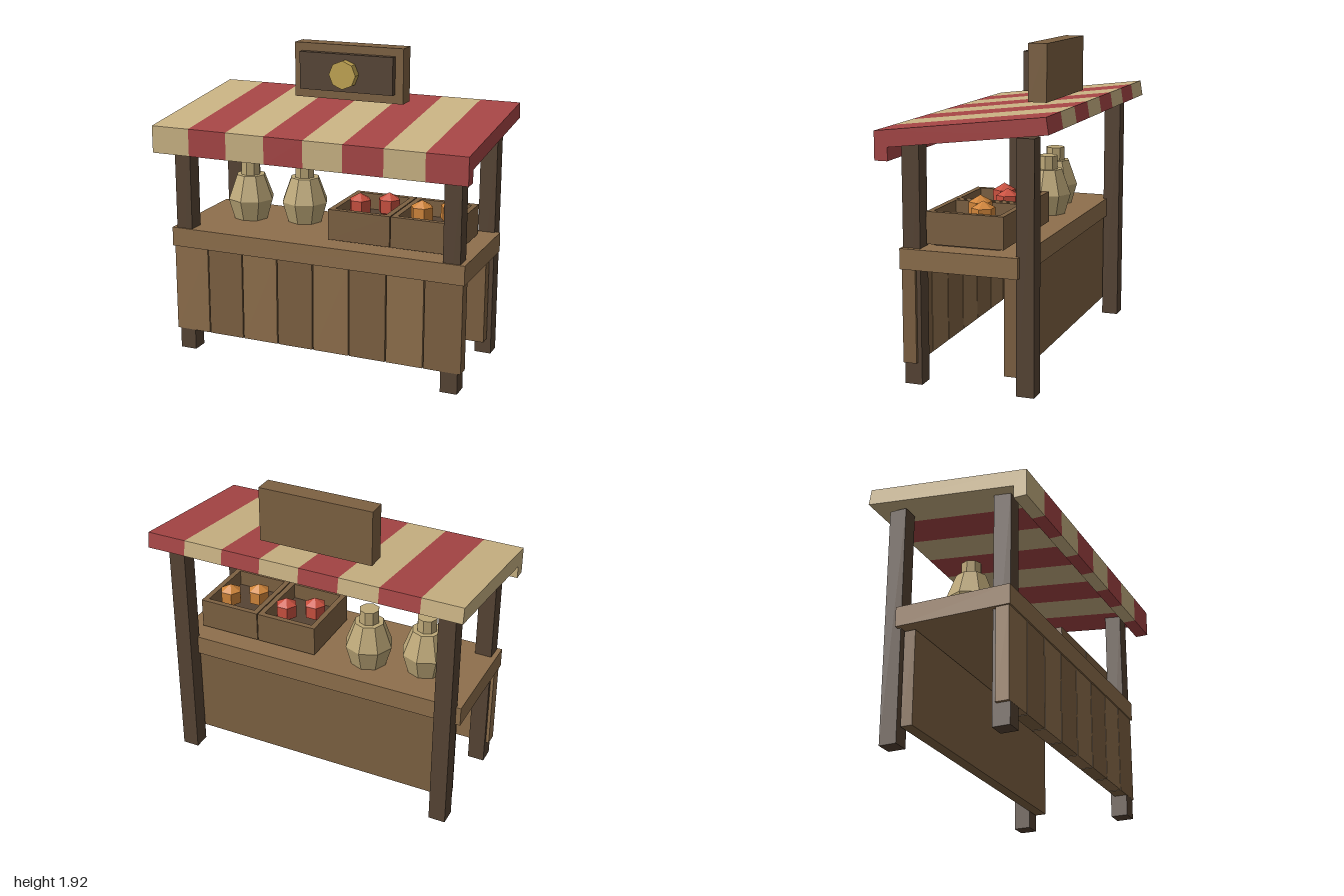
import * as THREE from 'three';

const mat = (color, side = THREE.FrontSide) =>
  new THREE.MeshStandardMaterial({ color, flatShading: true, side });

const M = {
  wood: mat(0x8e6f4c), plank: mat(0x7d6142), dark: mat(0x564434),
  red: mat(0xa64545), cream: mat(0xc9b283), gold: mat(0xc2a552),
  clay: mat(0xbda878), apple: mat(0xc9503f), orange: mat(0xd0853a),
};

export function createModel() {
  const root = new THREE.Group();
  root.name = 'marketStall';

  const add = (name, geometry, material, parent = root) => {
    const mesh = new THREE.Mesh(geometry, material);
    mesh.name = name;
    parent.add(mesh);
    return mesh;
  };
  // Box given by its minimum and maximum on each axis
  const box = (name, [x0, x1], [y0, y1], [z0, z1], material, parent = root) => {
    const mesh = add(name, new THREE.BoxGeometry(x1 - x0, y1 - y0, z1 - z0), material, parent);
    mesh.position.set((x0 + x1) / 2, (y0 + y1) / 2, (z0 + z1) / 2);
    return mesh;
  };

  // Corner posts
  for (const s of [-1, 1]) {
    const xs = [s * 0.8725 - 0.0525, s * 0.8725 + 0.0525];
    box('frontPost', xs, [0, 1.4], [0.275, 0.38], M.dark);
    box('backPost', xs, [0, 1.455], [-0.4, -0.295], M.dark);
  }

  // Counter, front planks and back panel
  box('counterTop', [-0.955, 0.955], [0.68, 0.8], [-0.315, 0.39], M.wood);
  for (let i = 0; i < 8; i++) {
    const x = (i - 3.5) * 0.237;
    box('frontPlank', [x - 0.115, x + 0.115], [0.13, 0.68], [0.3, 0.381], i % 2 ? M.plank : M.wood);
  }
  box('backPanel', [-0.9, 0.9], [0.1, 0.667], [-0.285, -0.215], M.plank);

  // Striped awning: side profile (z, y) swept along x, with a front valance
  const profile = new THREE.Shape([
    [0.51, 1.3], [0.51, 1.467], [-0.49, 1.585], [-0.505, 1.49], [0.43, 1.378], [0.43, 1.3],
  ].map(([z, y]) => new THREE.Vector2(z, y)));
  const stripe = new THREE.ExtrudeGeometry(profile, { depth: 0.25, bevelEnabled: false });
  stripe.rotateY(-Math.PI / 2);
  for (let i = 0; i < 8; i++) {
    add('awningStripe', stripe, i % 2 ? M.red : M.cream).position.x = -0.75 + i * 0.25;
  }

  // Sign above the awning
  box('signBoard', [-0.36, 0.36], [1.58, 1.92], [-0.28, -0.165], M.plank);
  box('signInset', [-0.308, 0.308], [1.637, 1.87], [-0.17, -0.12], M.dark);
  const disc = new THREE.CylinderGeometry(0.088, 0.088, 0.06, 8).rotateX(Math.PI / 2);
  add('signDisc', disc, M.gold).position.set(0, 1.75, -0.095);

  // Faceted jars
  const jarProfile = [
    [0, 0], [0.112, 0], [0.15, 0.13], [0.092, 0.285], [0.062, 0.285], [0.062, 0.37], [0, 0.37],
  ].map(([r, y]) => new THREE.Vector2(r, y));
  const jar = new THREE.LatheGeometry(jarProfile, 8);
  for (const [x, z] of [[-0.61, -0.02], [-0.262, -0.085]]) {
    add('jar', jar, M.clay).position.set(x, 0.8, z);
  }

  // Open crates with fruit
  const fruit = new THREE.SphereGeometry(0.08, 6, 3);
  const crate = (x, fruitMaterial) => {
    const g = new THREE.Group();
    g.name = 'crate';
    g.position.x = x;
    root.add(g);
    const w = 0.197, t = 0.034, ys = [0.812, 1], z0 = -0.195, z1 = 0.27;
    box('crateFloor', [-w + t, w - t], [0.8, 0.9], [z0 + t, z1 - t], M.dark, g);
    box('crateFront', [-w, w], ys, [z1 - t, z1], M.plank, g);
    box('crateBack', [-w, w], ys, [z0, z0 + t], M.plank, g);
    for (const s of [-1, 1]) {
      const c = s * (w - t / 2);
      box('crateSide', [c - t / 2, c + t / 2], ys, [z0 + t, z1 - t], M.plank, g);
      add('fruit', fruit, fruitMaterial, g).position.set(s * 0.08, 0.98, s < 0 ? 0.05 : -0.03);
    }
  };
  crate(0.252, M.apple);
  crate(0.652, M.orange);

  return root;
}
